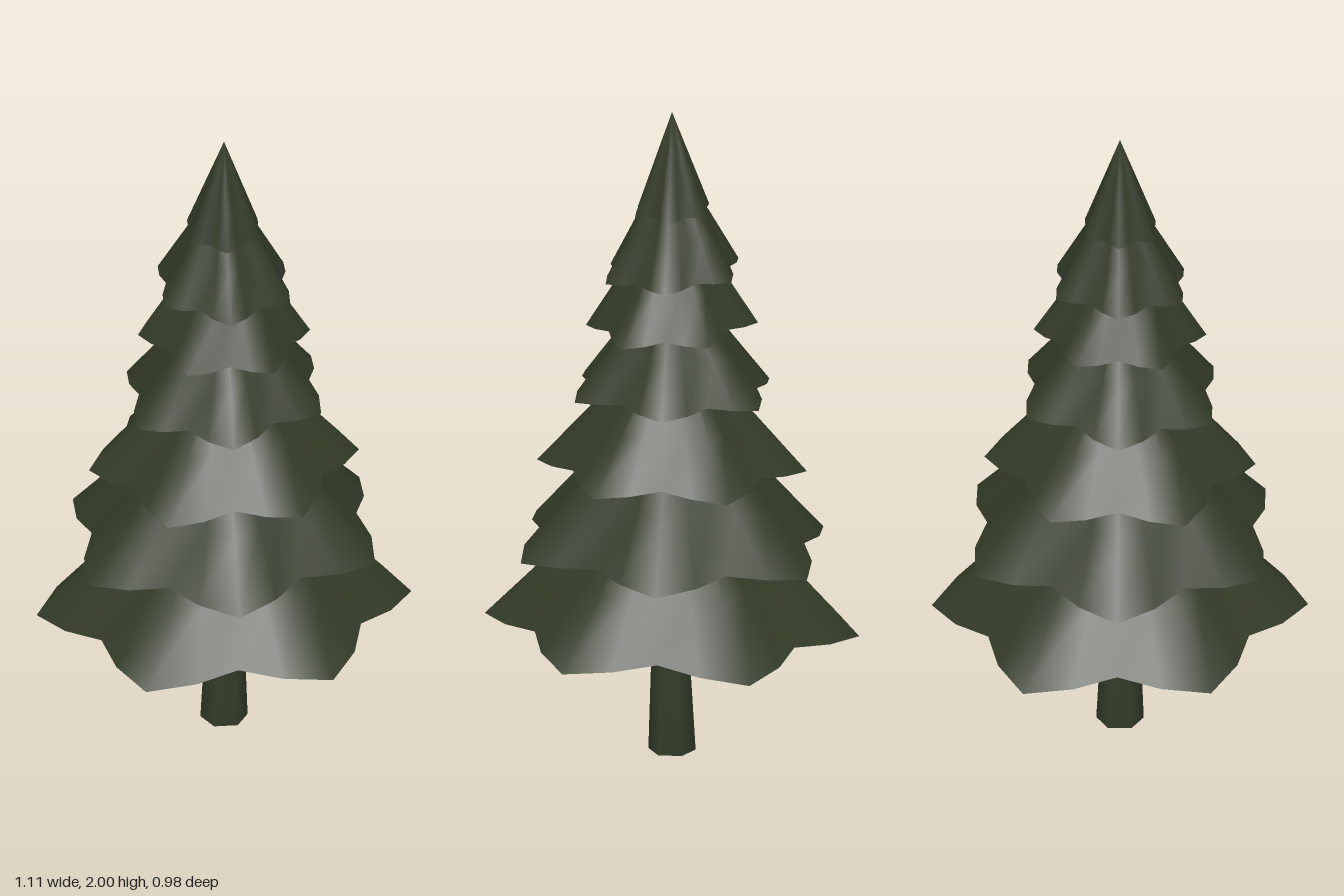
import * as THREE from 'three';
import { mergeVertices } from 'three/addons/utils/BufferGeometryUtils.js';

const needleGreen = new THREE.MeshStandardMaterial({ color: 0x333b28, side: THREE.DoubleSide });
needleGreen.name = 'needleGreen';

// Rebuild smooth normals without a seam
function smooth(geometry) {
  geometry.deleteAttribute('uv');
  geometry.deleteAttribute('normal');
  const merged = mergeVertices(geometry, 1e-4);
  merged.computeVertexNormals();
  return merged;
}

// Hollow cone with a six-lobed drooping rim; the rim leans by tiltX and tiltZ
function boughTier({ rim, apex, radius, turned, tiltX = 0, tiltZ = 0 }) {
  const geometry = new THREE.ConeGeometry(1, 1, 24, 3, true);
  const p = geometry.attributes.position;
  for (let i = 0; i < p.count; i++) {
    const t = 0.5 - p.getY(i); // 0 at the apex, 1 at the rim
    const angle = Math.atan2(p.getZ(i), p.getX(i));
    const lobe = Math.cos(6 * angle) * (turned ? -1 : 1);
    const r = radius * t * (0.9 + 0.1 * lobe);
    const x = r * Math.cos(angle);
    const z = r * Math.sin(angle);
    const lift = 0.03 * radius * (1 - lobe) * t;
    p.setXYZ(i, x, apex + (rim - apex) * t + lift + tiltX * x + tiltZ * z, z);
  }
  return smooth(geometry);
}

export function createModel() {
  const tree = new THREE.Group();
  tree.name = 'pineTree';

  // Boughs, from the lowest tier to the tip
  const tiers = [
    { rim: 0.39, apex: 0.97, radius: 0.555, turned: false, tiltX: 0.03 },
    { rim: 0.64, apex: 1.18, radius: 0.49, turned: true, tiltX: 0.025, tiltZ: -0.02 },
    { rim: 0.89, apex: 1.34, radius: 0.4, turned: false, tiltX: 0.01, tiltZ: -0.03 },
    { rim: 1.125, apex: 1.53, radius: 0.315, turned: true, tiltX: 0.01, tiltZ: -0.04 },
    { rim: 1.335, apex: 1.74, radius: 0.255, turned: false, tiltX: -0.05 },
    { rim: 1.5, apex: 1.88, radius: 0.215, turned: true, tiltX: -0.05 },
    { rim: 1.69, apex: 2, radius: 0.12, turned: true, tiltX: -0.05 },
  ];
  tiers.forEach((tier, i) => {
    const mesh = new THREE.Mesh(boughTier(tier), needleGreen);
    mesh.name = `boughTier${i + 1}`;
    tree.add(mesh);
  });

  // Tapered six-sided trunk, leaning slightly
  const sides = new THREE.CylinderGeometry(0.03, 0.07, 0.9, 6, 1, true);
  sides.rotateY(Math.PI / 6).translate(0, 0.45, 0);
  const p = sides.attributes.position;
  for (let i = 0; i < p.count; i++) p.setX(i, p.getX(i) + 0.015 * p.getY(i));
  const trunk = new THREE.Mesh(smooth(sides), needleGreen);
  trunk.name = 'trunk';
  const base = new THREE.Mesh(new THREE.CircleGeometry(0.07, 6).rotateX(Math.PI / 2), needleGreen);
  base.name = 'trunkBase';
  tree.add(trunk, base);

  return tree;
}
